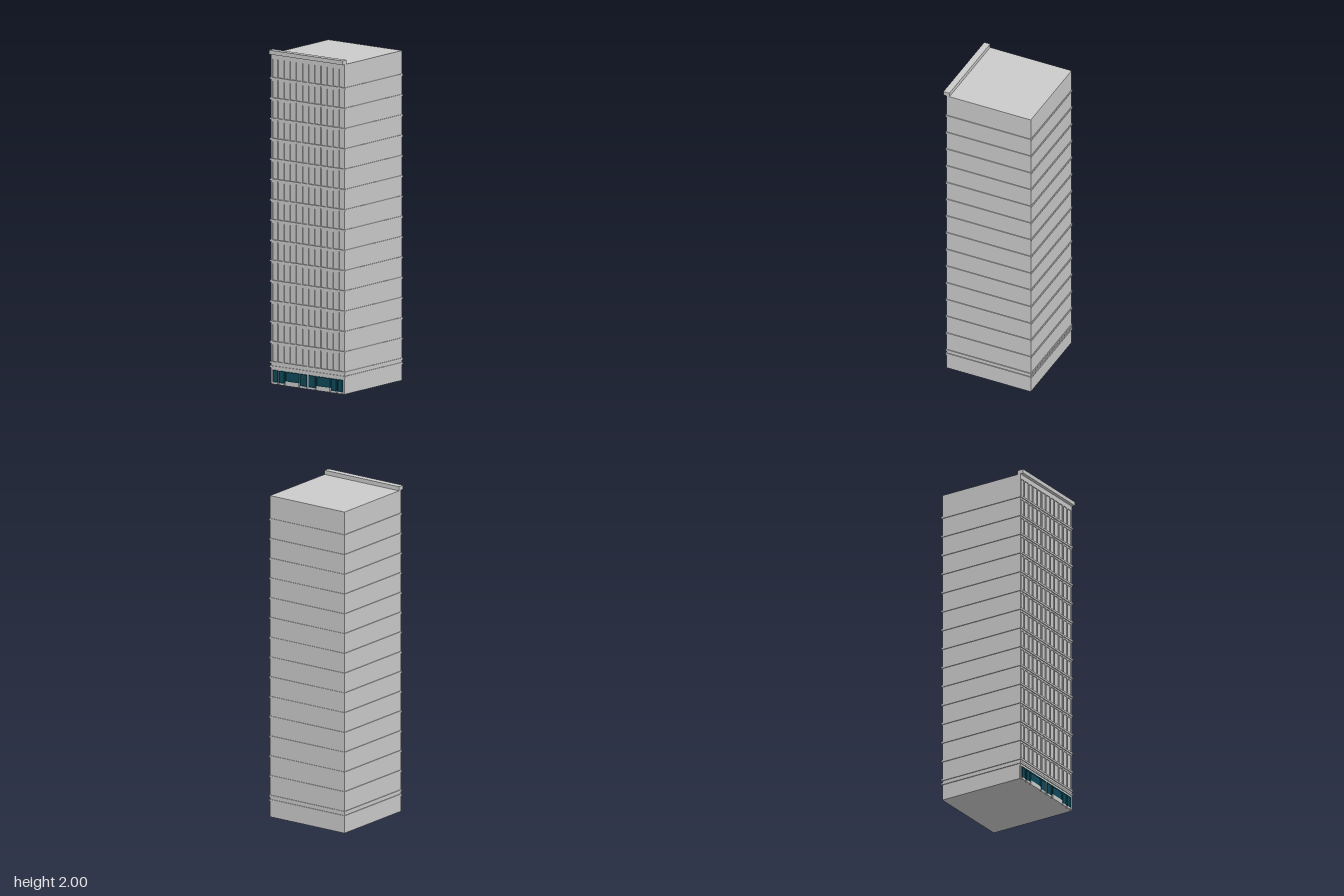
import * as THREE from 'three';

const grey = new THREE.MeshStandardMaterial({ color: 0xcccccc });
const teal = new THREE.MeshStandardMaterial({ color: 0x0e4a5a });

// Box given by its limits on each axis
function block(parent, name, [x0, x1], [y0, y1], [z0, z1], material = grey) {
  const mesh = new THREE.Mesh(new THREE.BoxGeometry(x1 - x0, y1 - y0, z1 - z0), material);
  mesh.position.set((x0 + x1) / 2, (y0 + y1) / 2, (z0 + z1) / 2);
  mesh.name = name;
  parent.add(mesh);
}

export function createModel() {
  const model = new THREE.Group();
  model.name = 'officeTower';
  const half = 0.274, back = -0.284, wall = 0.262, face = 0.267;
  const roof = 1.975, floorHeight = 0.1215, firstLedge = 0.129, floors = 15;

  // Main block and front cornice
  block(model, 'tower', [-half, half], [0, roof], [back, wall]);
  block(model, 'cornice', [-half, half], [roof, 2], [0.248, 0.287]);
  block(model, 'corniceFrieze', [-half, half], [1.945, roof], [wall - 0.01, face]);

  // Ledges wrapping every side, one per floor plus one over the shopfront
  const ledges = new THREE.Group();
  ledges.name = 'ledges';
  model.add(ledges);
  const ledge = y => block(ledges, 'ledge', [-0.279, 0.279], [y - 0.006, y + 0.006], [-0.288, 0.272]);
  ledge(0.103);
  for (let i = 0; i < floors; i++) ledge(firstLedge + i * floorHeight);

  // Front piers dividing twelve window bays
  const bays = 12, pitch = 2 * half / bays, pier = 0.005;
  const piers = new THREE.Group();
  piers.name = 'piers';
  model.add(piers);
  for (let i = 0; i <= bays; i++) {
    const x = THREE.MathUtils.clamp(-half + i * pitch, -half + pier, half - pier);
    block(piers, 'pier', [x - pier, x + pier], [firstLedge, 1.945], [wall - 0.01, face]);
  }

  // Lintel band above the windows of each floor
  const lintels = new THREE.Group();
  lintels.name = 'lintels';
  model.add(lintels);
  for (let i = 1; i < floors; i++) {
    const y = firstLedge + i * floorHeight;
    block(lintels, 'lintel', [-half, half], [y - 0.016, y], [wall - 0.01, face - 0.001]);
  }

  // Shopfront: fascia, then framed panes and doors
  const shop = new THREE.Group();
  shop.name = 'shopfront';
  model.add(shop);
  block(shop, 'fascia', [-half, half], [0.085, firstLedge], [wall - 0.01, face]);
  const openings = [
    [0.007, 0.056, 0.012], [0.064, 0.167, 0.027],
    [0.174, 0.212, 0.012], [0.221, 0.257, 0.012],
  ];
  for (const side of [-1, 1]) for (const [a, b, bottom] of openings) {
    const span = (p, q) => side > 0 ? [p, q] : [-q, -p];
    block(shop, 'glass', span(a, b), [bottom, 0.083], [wall - 0.005, 0.268], teal);
    block(shop, 'jamb', span(a, a + 0.004), [bottom, 0.083], [wall, 0.271], teal);
    block(shop, 'jamb', span(b - 0.004, b), [bottom, 0.083], [wall, 0.271], teal);
    block(shop, 'head', span(a, b), [0.078, 0.083], [wall, 0.271], teal);
    block(shop, 'threshold', span(a, b), [bottom, bottom + 0.004], [wall, 0.271], teal);
    block(shop, 'step', span(a, b), [0, bottom], [wall, 0.272]);
  }
  // Plain posts at the corners and in the middle of the shopfront
  for (const x of [-0.267, 0, 0.267]) {
    block(shop, 'post', [x - 0.006, x + 0.006], [0, 0.085], [wall - 0.01, face]);
  }
  return model;
}
